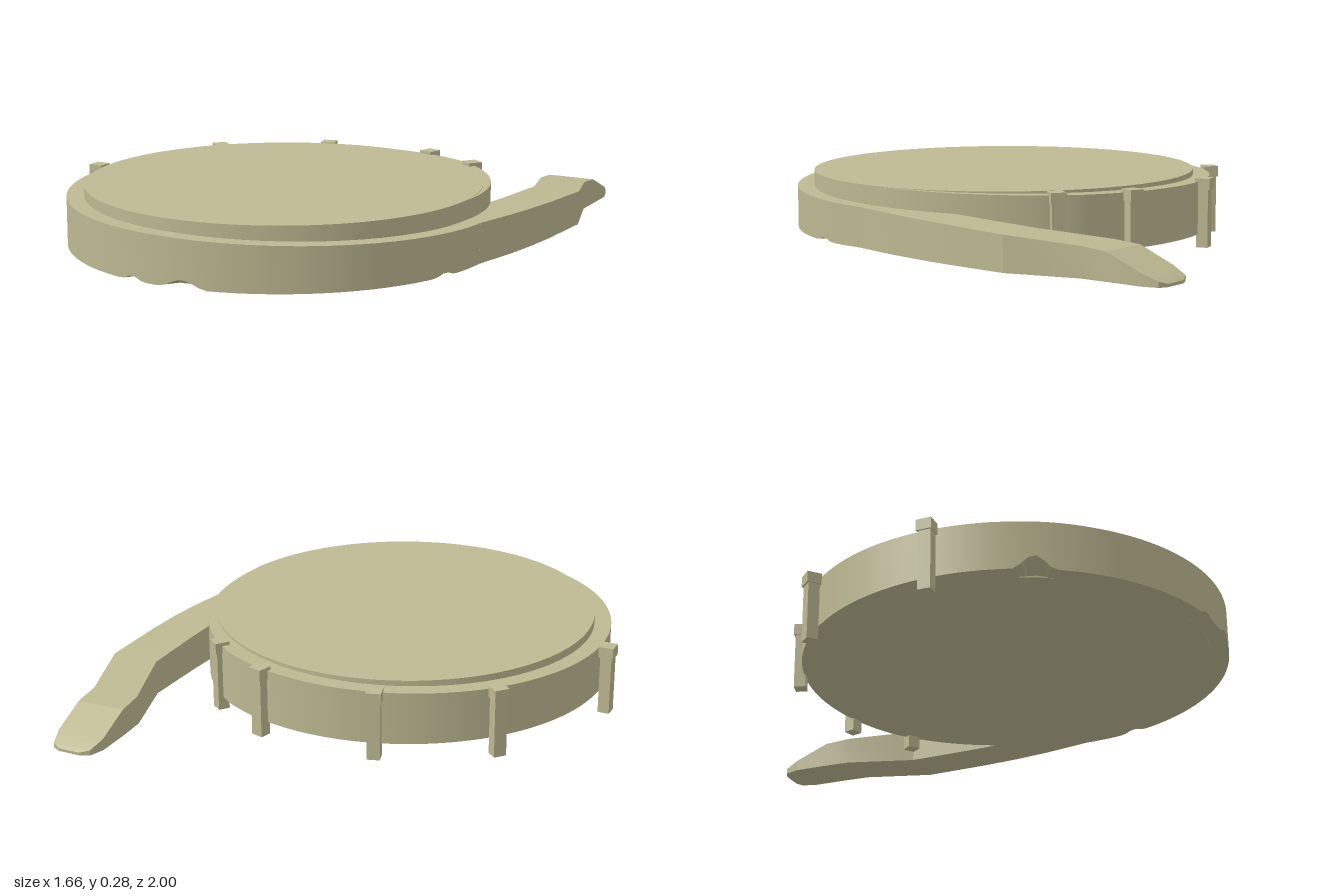
import * as THREE from 'three';
import { toCreasedNormals } from 'three/addons/utils/BufferGeometryUtils.js';

const BASE = 0.067, TOP = 0.275, CX = -0.013, CZ = 0.243, INNER = 0.7, OUTER = 0.761;
const material = new THREE.MeshStandardMaterial({ color: 0xbdb992 });

function add(parent, name, geometry) {
  const mesh = new THREE.Mesh(geometry, material);
  mesh.name = name;
  parent.add(mesh);
  return mesh;
}

// Skin a row of four-cornered sections, closing both ends
function loft(sections, crease) {
  const out = [];
  const tri = (a, b, c) => out.push(...a, ...b, ...c);
  for (let s = 0; s < sections.length - 1; s++) {
    const p = sections[s], q = sections[s + 1];
    for (let i = 0; i < 4; i++) {
      const j = (i + 1) % 4;
      tri(p[i], p[j], q[j]);
      tri(p[i], q[j], q[i]);
    }
  }
  const a = sections[0], b = sections[sections.length - 1];
  tri(a[0], a[2], a[1]); tri(a[0], a[3], a[2]);
  tri(b[0], b[1], b[2]); tri(b[0], b[2], b[3]);
  const geometry = new THREE.BufferGeometry();
  geometry.setAttribute('position', new THREE.Float32BufferAttribute(out, 3));
  geometry.computeVertexNormals();
  return toCreasedNormals(geometry, crease);
}

// Walkway height, climbing one turn around the platform
const levels = [0.207, 0.232, 0.243, 0.26, TOP];
function rampHeight(angle) {
  const t = Math.min(angle / (Math.PI / 2), 3.9999), i = Math.floor(t);
  return THREE.MathUtils.lerp(levels[i], levels[i + 1], t - i);
}

// Worn hollows along the foot of the wall: angle, half width, height
const hollows = [[2.69, 0.1, 0.05], [1.49, 0.12, 0.028], [1.75, 0.07, 0.016], [0.28, 0.07, 0.012]];
function footLift(angle) {
  let lift = 0;
  for (const [at, half, height] of hollows) {
    const d = Math.abs(angle - at) / half;
    if (d < 1) lift = Math.max(lift, height * (0.5 + 0.5 * Math.cos(Math.PI * d)));
  }
  return lift;
}

export function createModel() {
  const model = new THREE.Group();
  model.name = 'spiralRampPlatform';

  // Round upper platform
  const platform = add(model, 'platform', new THREE.CylinderGeometry(INNER, INNER, TOP - BASE, 128));
  platform.position.set(CX, (TOP + BASE) / 2, CZ);

  // Walkway spiralling up around the platform and merging into its top
  const steps = 192, ring = [];
  for (let s = 0; s <= steps; s++) {
    const a = (s / steps) * Math.PI * 2;
    const taper = THREE.MathUtils.clamp((a - 5.24) / (Math.PI * 2 - 5.24), 0, 1);
    const r = THREE.MathUtils.lerp(OUTER, INNER, taper);
    const at = (radius, y) => [CX + Math.cos(a) * radius, y, CZ + Math.sin(a) * radius];
    const h = rampHeight(a), inside = INNER - 0.01;
    ring.push([at(inside, BASE), at(r, BASE + footLift(a)), at(r, h), at(inside, h)]);
  }
  add(model, 'spiralWalkway', loft(ring, 0.6));

  // Approach ramp: z, inner x, outer x, top height
  const approach = [
    [-1, 0.62, 0.7, 0.077], [-0.985, 0.585, 0.73, 0.086], [-0.93, 0.568, 0.745, 0.108],
    [-0.8, 0.569, 0.747, 0.162], [-0.7, 0.574, 0.75, 0.17], [-0.45, 0.65, 0.825, 0.19],
    [-0.2, 0.643, 0.815, 0.198], [-0.06, 0.635, 0.803, 0.202], [0.08, 0.64, 0.783, 0.205],
    [0.25, 0.66, 0.748, 0.207],
  ].map(([z, x0, x1, y]) => [[x0, BASE, z], [x1, BASE, z], [x1, y, z], [x0, y, z]]);
  add(model, 'approachRamp', loft(approach, 0.3));

  // Support posts with wider caps: x, z, foot height
  const posts = [[-0.807, 0.243, 0], [-0.6, -0.28, 0.012], [-0.238, -0.5, 0.02], [0.2, -0.5, 0.02], [0.437, -0.362, 0.02]];
  for (const [x, z, foot] of posts) {
    const angle = Math.atan2(z - CZ, x - CX);
    const top = rampHeight((angle + Math.PI * 2) % (Math.PI * 2)) + 0.01;
    const post = new THREE.Group();
    post.name = 'supportPost';
    post.position.set(x, 0, z);
    post.rotation.y = -angle;
    add(post, 'postShaft', new THREE.BoxGeometry(0.042, top - foot, 0.046)).position.y = (top + foot) / 2;
    add(post, 'postCap', new THREE.BoxGeometry(0.054, 0.04, 0.054)).position.y = top - 0.018;
    model.add(post);
  }
  return model;
}
